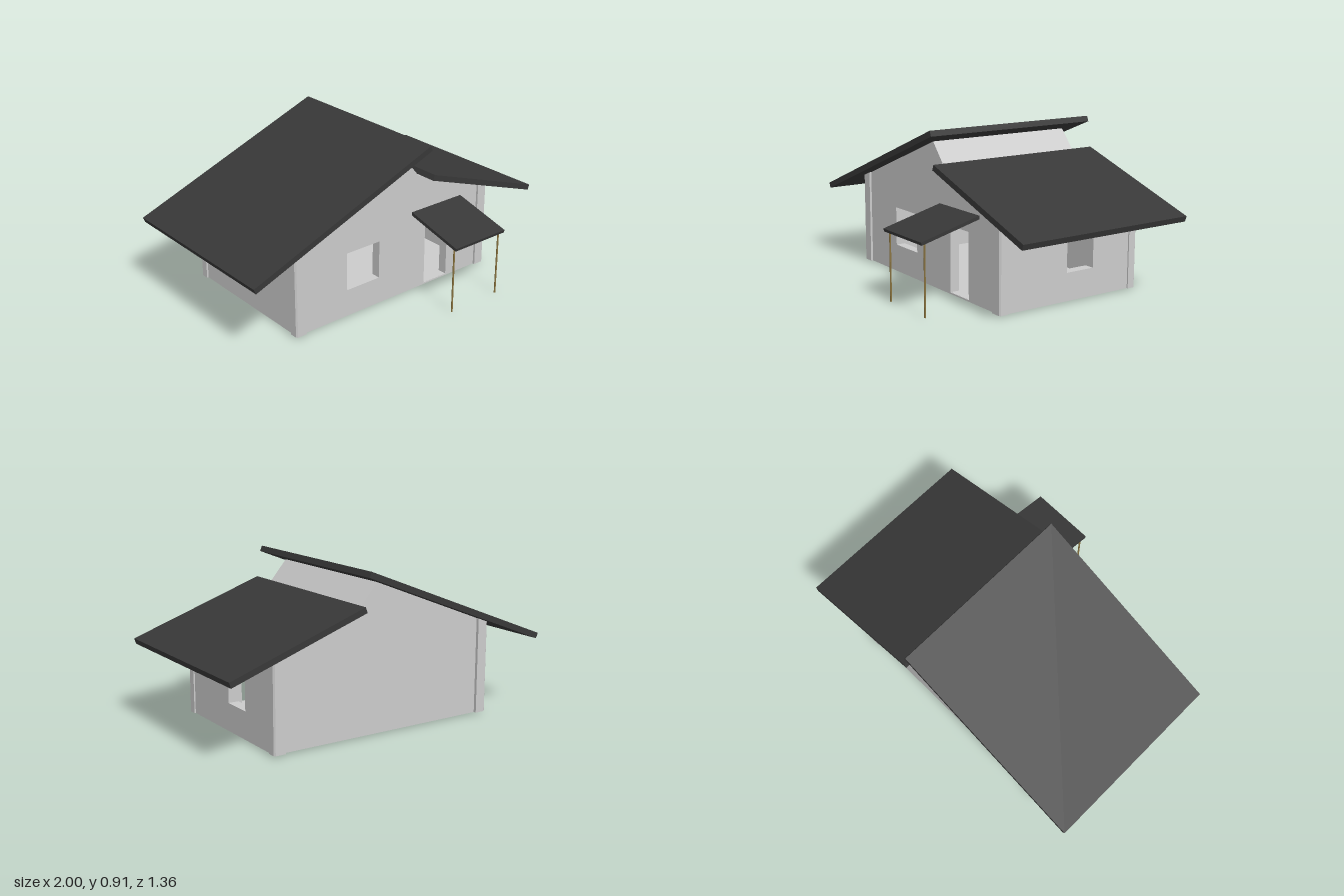
import * as THREE from 'three';

const wallMat = new THREE.MeshStandardMaterial({ color: 0xcccccc, flatShading: true });
const roofMat = new THREE.MeshStandardMaterial({ color: 0x383838, flatShading: true });
const woodMat = new THREE.MeshStandardMaterial({ color: 0x8a7440, flatShading: true });

const BASE = 0.008;
// Height of the roof underside above a given x
const underside = x => x < 0.125 ? 0.412 + 0.394 * (x + 0.985) : 0.695 - 0.344 * (x - 0.205);

const toShape = pts => new THREE.Shape(pts.map(p => new THREE.Vector2(...p)));
const rect = (x0, x1, y0, y1) => [[x0, y0], [x1, y0], [x1, y1], [x0, y1]];

// Extrudes an outline with optional holes
function prism(outline, depth, holes = []) {
  const shape = toShape(outline);
  for (const h of holes) shape.holes.push(new THREE.Path(h.map(p => new THREE.Vector2(...p))));
  return new THREE.ExtrudeGeometry(shape, { depth, bevelEnabled: false });
}

// Cuts the top of a wall or post to the roof pitch
function cutToRoof(geo) {
  const p = geo.attributes.position;
  for (let i = 0; i < p.count; i++) if (p.getY(i) > 0.5) p.setY(i, underside(p.getX(i)));
  geo.computeVertexNormals();
  return geo;
}

export function createModel() {
  const group = new THREE.Group();
  const add = (name, geo, mat) => {
    const m = new THREE.Mesh(geo, mat);
    m.name = name;
    group.add(m);
    return m;
  };

  // Gable walls; the front one has a window and a doorway
  const gable = [[-0.68, BASE], [0.7, BASE], [0.7, underside(0.7)], [0.205, 0.695],
    [0.18, 0.7], [0.07, underside(0.07)], [-0.68, underside(-0.68)]];
  const frontHoles = [rect(-0.335, -0.107, 0.167, 0.39), rect(0.235, 0.41, 0.017, 0.39)];
  add('frontWall', prism(gable, 0.055, frontHoles).translate(0, 0, 0.265), wallMat);
  add('backWall', prism(gable, 0.055).translate(0, 0, -0.58), wallMat);

  // Side walls, each with one window
  const sideWall = (name, outerX, win) => add(name,
    cutToRoof(prism(rect(-0.525, 0.265, BASE, 0.53), 0.06, [win])
      .rotateY(-Math.PI / 2).translate(outerX, 0, 0)), wallMat);
  sideWall('leftWall', 0.7, rect(-0.293, -0.112, 0.165, 0.39));
  sideWall('rightWall', -0.62, rect(-0.22, 0.0, 0.165, 0.39));

  // Floor slab
  add('floor', new THREE.BoxGeometry(1.37, 0.01, 0.89).translate(0.01, 0.0125, -0.13), wallMat);

  // Corner posts with a chamfered outer edge, standing slightly proud of the walls
  for (const sx of [-1, 1]) {
    for (const sz of [-1, 1]) {
      const cx = sx > 0 ? 0.708 : -0.69;
      const cz = sz > 0 ? 0.333 : -0.597;
      const w = 0.068, d = 0.052, c = 0.008;
      const plan = [[0, 0 + c], [c, 0], [w, 0], [w, d], [0, d]]
        .map(([a, b]) => [cx - sx * a, -(cz - sz * b)]);
      const geo = prism(plan, 0.522).rotateX(-Math.PI / 2).translate(0, BASE, 0);
      add('cornerPost', cutToRoof(geo), wallMat);
    }
  }

  // Sloping strip that closes the step between the two roofs
  add('roofStepPanel', prism([[0.07, 0.828], [0.04, 0.81], [0.15, 0.69], [0.2, 0.68], [0.18, 0.7]], 0.9)
    .translate(0, 0, -0.58), wallMat);

  // Two main roof slabs
  const roof = (name, pts) => add(name, prism(pts, 1.09).translate(0, 0, -0.68), roofMat);
  roof('highRoof', [[-0.987, 0.411], [0.19, 0.875], [0.178, 0.906], [-1, 0.441]]);
  roof('lowRoof', [[0.2, 0.697], [0.99, 0.425], [1, 0.456], [0.212, 0.728]]);

  // Porch canopy and its thin poles
  add('porchRoof', prism([[0.32, 0.476], [0.67, 0.386], [0.675, 0.403], [0.32, 0.496]], 0.375)
    .rotateY(-Math.PI / 2).translate(0.507, 0, 0), roofMat);
  for (const x of [0.148, 0.49]) {
    add('porchPole', new THREE.CylinderGeometry(0.005, 0.005, 0.395, 8).translate(x, 0.1975, 0.644), woodMat);
  }
  return group;
}
